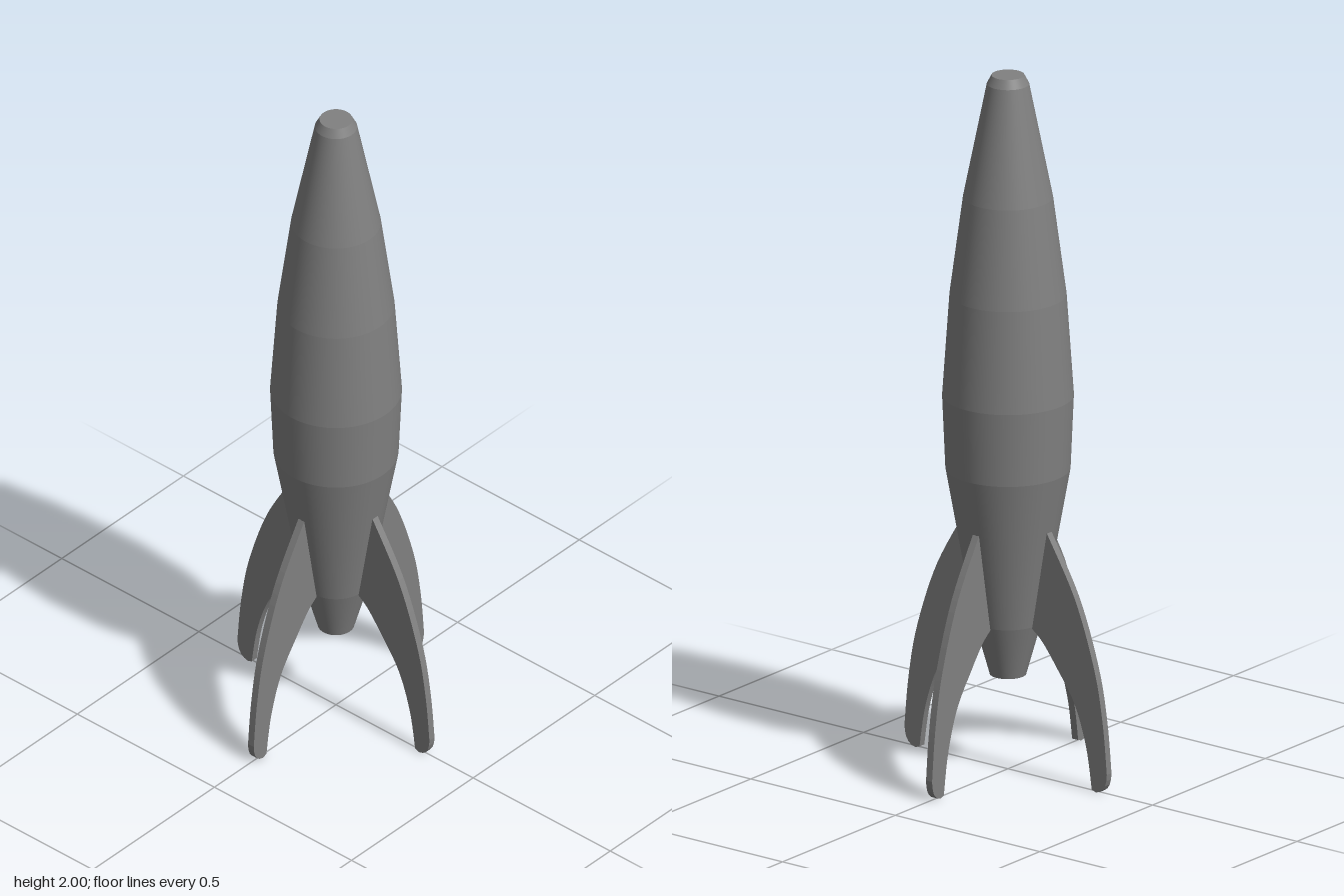
import * as THREE from 'three';

const FIN_THICKNESS = 0.021;

export function createModel() {
  const model = new THREE.Group();
  model.name = 'rocket';
  const grey = new THREE.MeshStandardMaterial({ color: 0x808080 });
  grey.name = 'grey';

  // Hull: stacked conical bands, round about the axis with a crease at each ring
  const hull = new THREE.Group();
  hull.name = 'hull';
  const rings = [
    [0.05, 0.275], [0.093, 0.43], [0.171, 0.87], [0.18, 1.08],
    [0.16, 1.37], [0.123, 1.65], [0.058, 1.975], [0.045, 2],
  ];
  for (let i = 0; i < rings.length - 1; i++) {
    const [r0, y0] = rings[i];
    const [r1, y1] = rings[i + 1];
    const band = new THREE.Mesh(new THREE.CylinderGeometry(r1, r0, y1 - y0, 64, 1, true), grey);
    band.position.y = (y0 + y1) / 2;
    band.name = 'hullBand' + (i + 1);
    hull.add(band);
  }

  // Flat discs closing the nose and the tail
  const addCap = (name, radius, y, turn) => {
    const cap = new THREE.Mesh(new THREE.CircleGeometry(radius, 64), grey);
    cap.rotation.x = turn;
    cap.position.y = y;
    cap.name = name;
    hull.add(cap);
  };
  addCap('noseCap', 0.045, 2, -Math.PI / 2);
  addCap('tailCap', 0.05, 0.275, Math.PI / 2);
  model.add(hull);

  // Curved fin outline: inner root, swept lower edge, rounded foot, bowed outer edge
  const outline = new THREE.Shape();
  outline.moveTo(0.12, 0.71);
  outline.lineTo(0.075, 0.425);
  outline.lineTo(0.092, 0.425);
  outline.splineThru([[0.127, 0.395], [0.175, 0.333], [0.238, 0.24], [0.278, 0.125], [0.298, 0.005]]
    .map(([x, y]) => new THREE.Vector2(x, y)));
  outline.lineTo(0.312, 0);
  outline.bezierCurveTo(0.338, 0.003, 0.35, 0.025, 0.35, 0.058);
  outline.splineThru([[0.336, 0.2], [0.307, 0.35], [0.24, 0.54], [0.143, 0.71]]
    .map(([x, y]) => new THREE.Vector2(x, y)));
  outline.closePath();
  const finGeometry = new THREE.ExtrudeGeometry(outline, {
    depth: FIN_THICKNESS, bevelEnabled: false, curveSegments: 5,
  });
  finGeometry.translate(0, 0, -FIN_THICKNESS / 2);

  // Four fins, a quarter turn apart
  ['leftFin', 'backFin', 'rightFin', 'frontFin'].forEach((name, i) => {
    const fin = new THREE.Mesh(finGeometry, grey);
    fin.rotation.y = i * Math.PI / 2;
    fin.name = name;
    model.add(fin);
  });
  return model;
}
